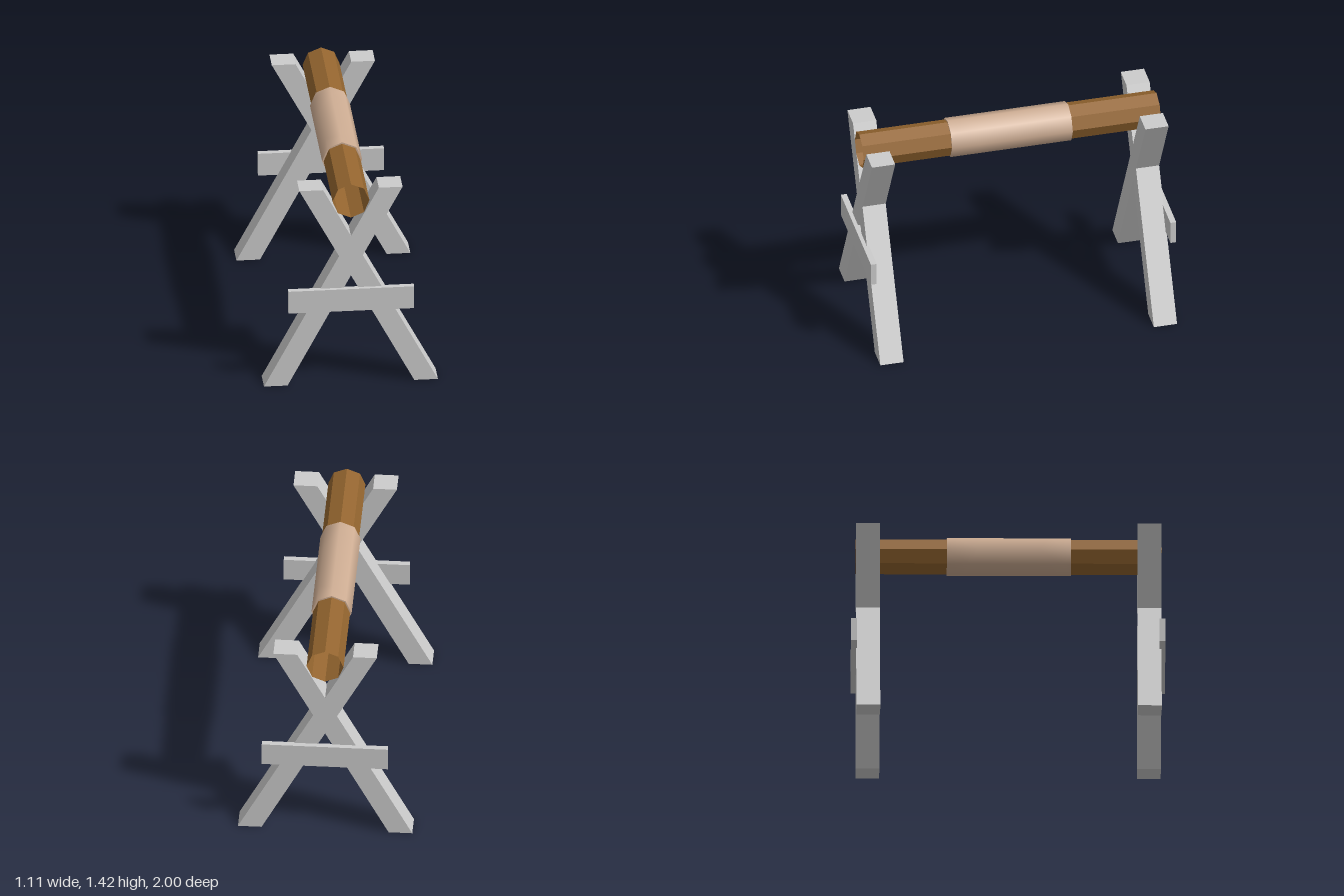
import * as THREE from 'three';
import { mergeVertices } from 'three/addons/utils/BufferGeometryUtils.js';

const AXIS_Y = 1.296;
const LOG_R = 0.118;
const WRAP_R = 0.128;
const SIDES = 8;

const wood = new THREE.MeshStandardMaterial({ color: 0xcccccc, flatShading: true });
const bark = new THREE.MeshStandardMaterial({ color: 0x94652f, flatShading: true, side: THREE.DoubleSide });
const cloth = new THREE.MeshStandardMaterial({ color: 0xcfae94, side: THREE.DoubleSide });

function part(name, geometry, material, x = 0, y = 0, z = 0) {
  const mesh = new THREE.Mesh(geometry, material);
  mesh.name = name;
  mesh.position.set(x, y, z);
  return mesh;
}

// Crossed legs cut from one outline, mirrored about x = 0
function crossedLegs(depth) {
  const half = [[0, 0.765], [0.405, 0], [0.556, 0], [0.076, 0.905], [0.33, 1.38], [0.178, 1.38], [0, 1.045]];
  const mirrored = half.slice(1, -1).reverse().map(([x, y]) => [-x, y]);
  const shape = new THREE.Shape([...half, ...mirrored].map(([x, y]) => new THREE.Vector2(x, y)));
  return new THREE.ExtrudeGeometry(shape, { depth, bevelEnabled: false });
}

// Octagonal sleeve whose rows wind around the log and are trimmed at both ends
function spiralSleeve(z0, z1) {
  const row = 0.2, pitch = 0.4;
  const point = (k, j) => {
    const a = (j % SIDES) / SIDES * Math.PI * 2;
    const z = THREE.MathUtils.clamp(z0 + k * row - pitch * j / SIDES, z0, z1);
    return [WRAP_R * Math.cos(a), WRAP_R * Math.sin(a), z];
  };
  const positions = [];
  const rows = Math.ceil((z1 - z0 + pitch) / row);
  for (let k = 0; k < rows; k++) {
    for (let j = 0; j < SIDES; j++) {
      const a = point(k, j), b = point(k, j + 1), c = point(k + 1, j + 1), d = point(k + 1, j);
      positions.push(...a, ...b, ...c, ...a, ...c, ...d);
    }
  }
  let geometry = new THREE.BufferGeometry();
  geometry.setAttribute('position', new THREE.Float32BufferAttribute(positions, 3));
  geometry = mergeVertices(geometry, 1e-4);
  geometry.computeVertexNormals();
  return geometry;
}

export function createModel() {
  const model = new THREE.Group();
  model.name = 'logOnTrestles';

  // Two trestles, each with a brace on its outer face
  const trestles = [['front', 0.823, 0.981], ['back', -0.968, -0.981]];
  for (const [end, legZ, braceZ] of trestles) {
    const trestle = new THREE.Group();
    trestle.name = end + 'Trestle';
    trestle.add(part('crossedLegs', crossedLegs(0.152), wood, 0, 0, legZ));
    trestle.add(part('brace', new THREE.BoxGeometry(0.804, 0.155, 0.038), wood, 0, 0.602, braceZ));
    model.add(trestle);
  }

  // Hollow open-ended log
  const log = new THREE.CylinderGeometry(LOG_R, LOG_R, 1.947, SIDES, 1, true).rotateX(Math.PI / 2);
  model.add(part('log', log, bark, 0, AXIS_Y, 0.004));

  // Cloth wound around the middle, with thin rims closing its ends
  const z0 = -0.39, z1 = 0.4;
  const wrap = new THREE.Group();
  wrap.name = 'wrap';
  wrap.position.y = AXIS_Y;
  wrap.add(part('sleeve', spiralSleeve(z0, z1), cloth));
  for (const z of [z0, z1]) {
    const rim = new THREE.RingGeometry(LOG_R, WRAP_R, SIDES, 1);
    if (z < 0) rim.rotateY(Math.PI);
    wrap.add(part('rim', rim, cloth, 0, 0, z));
  }
  model.add(wrap);

  return model;
}
